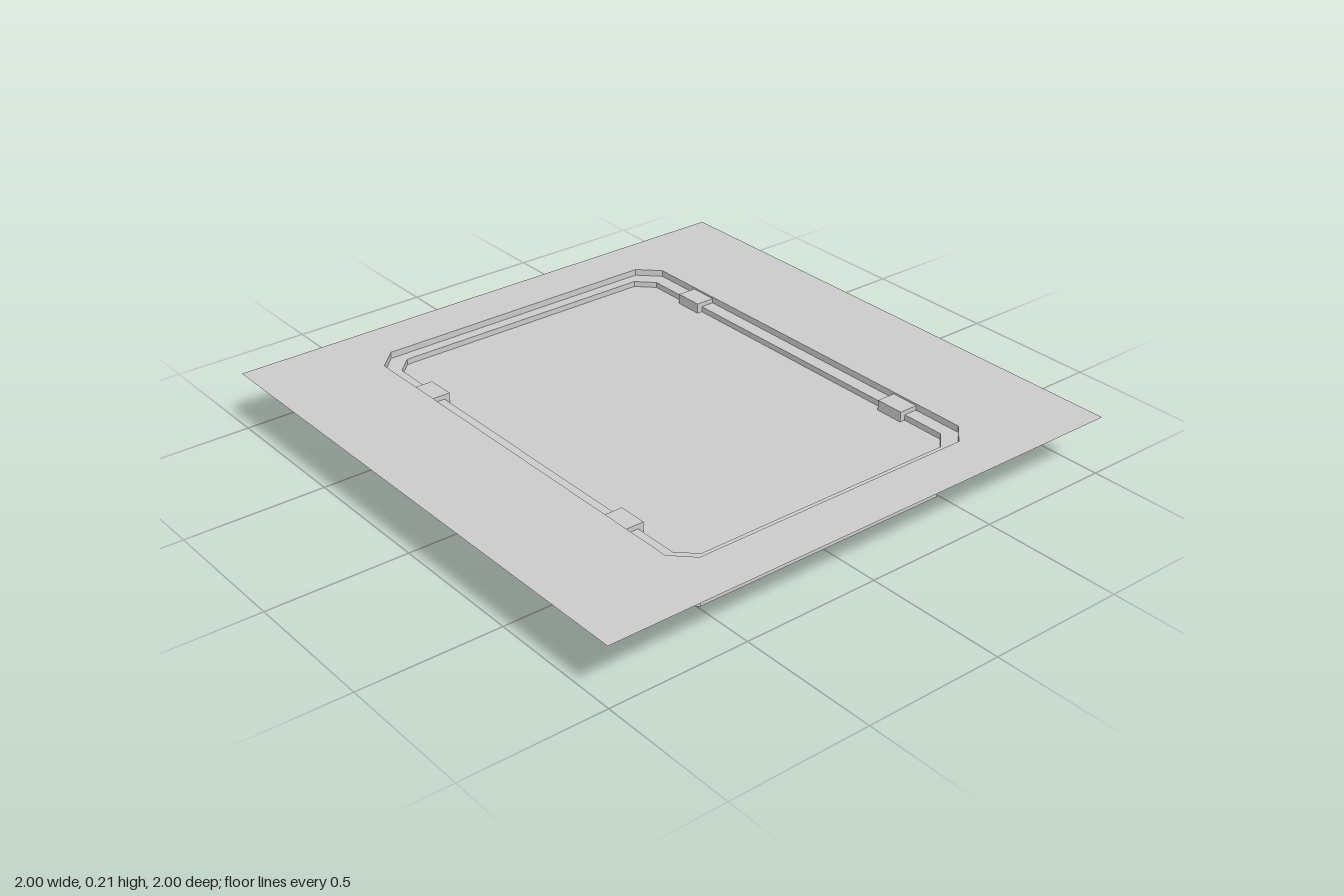
import * as THREE from 'three';

const material = new THREE.MeshStandardMaterial({ color: 0xcccccc, flatShading: true, side: THREE.DoubleSide });

const TOP = 0.208, LEDGE = 0.185, FLOOR = 0.165;
const OUTER = [0.6, 0.82, 0.07];   // half width, half depth, corner cut
const INNER = [0.55, 0.78, 0.058];

// Rectangle with cut corners, counter-clockwise in plan
function outline([w, d, c]) {
  return [
    [w, -d + c], [w, d - c], [w - c, d], [-w + c, d],
    [-w, d - c], [-w, -d + c], [-w + c, -d], [w - c, -d],
  ].map(([x, z]) => new THREE.Vector2(x, z));
}

// Closed band of quads joining outlines at successive heights
function band(rings) {
  const positions = [];
  const loops = rings.map(([size, y]) => outline(size).map(p => [p.x, y, p.y]));
  for (let r = 0; r + 1 < loops.length; r++) {
    const a = loops[r], b = loops[r + 1], n = a.length;
    for (let i = 0; i < n; i++) {
      const j = (i + 1) % n;
      positions.push(...a[i], ...a[j], ...b[i], ...a[j], ...b[j], ...b[i]);
    }
  }
  const geometry = new THREE.BufferGeometry();
  geometry.setAttribute('position', new THREE.Float32BufferAttribute(positions, 3));
  geometry.computeVertexNormals();
  return geometry;
}

// Flat horizontal sheet facing up
function flat(shape, y) {
  return new THREE.ShapeGeometry(shape).rotateX(-Math.PI / 2).translate(0, y, 0);
}

export function createModel() {
  const group = new THREE.Group();
  const add = (name, geometry) => {
    const mesh = new THREE.Mesh(geometry, material);
    mesh.name = name;
    group.add(mesh);
    return mesh;
  };

  // Square surround with an opening
  const square = new THREE.Shape([[-1, -1], [1, -1], [1, 1], [-1, 1]].map(p => new THREE.Vector2(...p)));
  square.holes.push(new THREE.Path(outline(OUTER)));
  add('surroundSheet', flat(square, TOP));

  // Stepped rim: skirt and ledge
  add('rim', band([[OUTER, TOP], [OUTER, LEDGE], [INNER, LEDGE]]));

  // Wall open at the bottom, with a recessed panel near its top
  add('wall', band([[INNER, LEDGE], [INNER, 0]]));
  add('recessedPanel', flat(new THREE.Shape(outline(INNER)), FLOOR));

  // Four clips across the ledge
  for (const side of [-1, 1]) {
    for (const z of [-0.515, 0.51]) {
      add('clip', new THREE.BoxGeometry(0.072, 0.047, 0.104)).position.set(side * 0.566, 0.178, z);
    }
  }
  return group;
}
